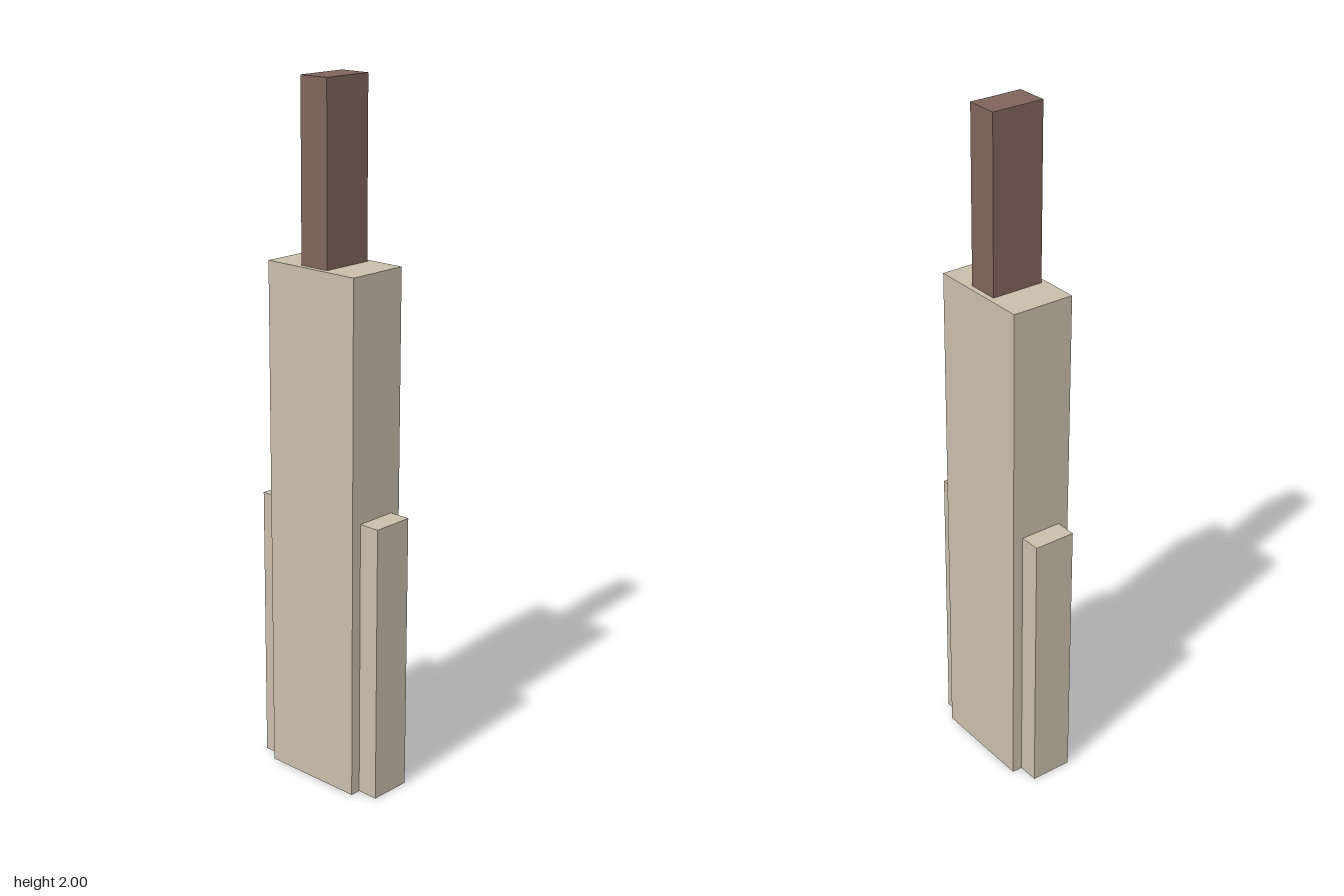
import * as THREE from 'three';

const U = 1 / 32; // modelling unit

export function createModel() {
  const stone = new THREE.MeshStandardMaterial({ name: 'paleStone', color: 0xc9bdab });
  const brown = new THREE.MeshStandardMaterial({ name: 'darkBrown', color: 0x7f645b });
  const group = new THREE.Group();
  group.name = 'tower';

  // Box given in units, with its underside at height y
  const block = (name, material, w, h, d, x = 0, y = 0) => {
    const mesh = new THREE.Mesh(new THREE.BoxGeometry(w * U, h * U, d * U), material);
    mesh.name = name;
    mesh.position.set(x * U, (y + h / 2) * U, 0);
    group.add(mesh);
  };

  // Main shaft
  block('shaft', stone, 10, 48, 6);

  // Low wings on both sides
  for (const [name, side] of [['leftWing', 1], ['rightWing', -1]]) {
    block(name, stone, 2, 26, 4, side * 6);
  }

  // Upper core rising out of the shaft
  block('upperCore', brown, 3, 16, 5, 0, 48);

  return group;
}
